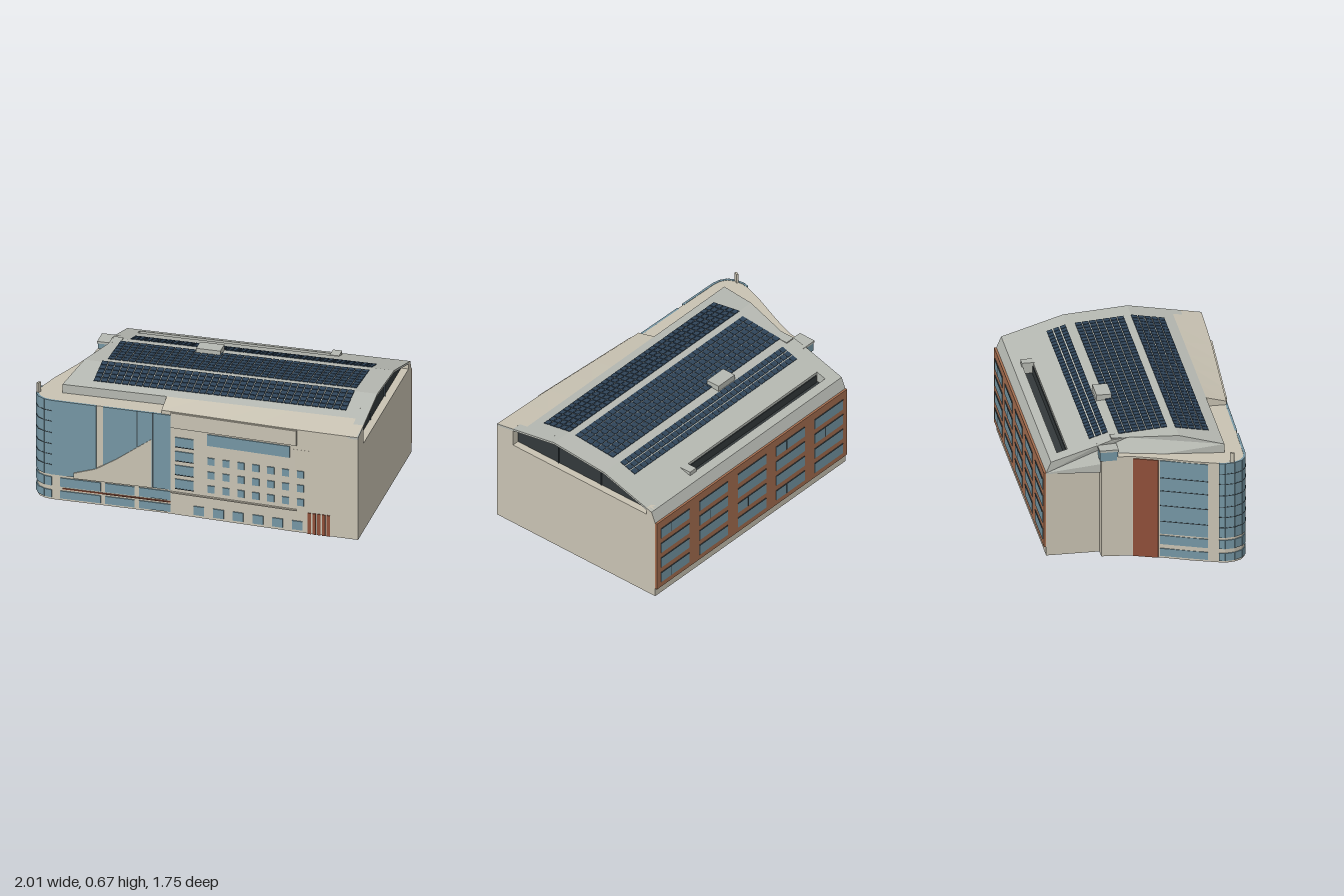
import * as THREE from 'three';
import { mergeGeometries } from 'three/addons/utils/BufferGeometryUtils.js';

const mat = (color) => new THREE.MeshStandardMaterial({ color, flatShading: true });
const wall = mat(0xc9c3b3), roofMat = mat(0xb6b9b2), brick = mat(0xa66f50), redBrick = mat(0x8f4f39);
const glass = mat(0x7596a4), solar = mat(0x2f4459), dark = mat(0x33393b), frame = mat(0x3a464c);

// Piecewise linear lookup through [x, y] points
const lerpPts = (pts, x) => {
  let i = 0;
  while (i < pts.length - 2 && x > pts[i + 1][0]) i++;
  const [[x0, y0], [x1, y1]] = [pts[i], pts[i + 1]];
  return y0 + (y1 - y0) * (x - x0) / (x1 - x0);
};

// Local plan frame: u runs along the building, v across it, the whole is turned in plan
const ROOF = [[-0.57, 0.475], [-0.545, 0.535], [-0.22, 0.635], [0.12, 0.66], [0.51, 0.59]];
const FRONT = [[-0.84, 0.45], [-0.24, 0.457], [0.476, 0.5], [0.82, 0.51]];
const roofY = (v) => lerpPts(ROOF, v);
const frontV = (u) => lerpPts(FRONT, u);
const CORNER = [[-0.84, 0.45], [-0.88, 0.442], [-0.915, 0.42], [-0.937, 0.38], [-0.943, 0.33]];
const LEFT = [[-0.89, 0.17], [-0.82, 0], [-0.775, -0.13], [-0.76, -0.28]];

export function createModel() {
  const model = new THREE.Group();
  const building = new THREE.Group();
  building.name = 'building';
  building.rotation.y = -0.586;
  model.add(building);

  const add = (geo, material, name) => {
    const m = new THREE.Mesh(geo, material);
    m.name = name;
    building.add(m);
    return m;
  };
  const box = (u, y, v, su, sy, sv, material, name) =>
    add(new THREE.BoxGeometry(su, sy, sv), material, name).position.set(u, y, v);

  // Upright prism over a plan outline
  const prism = (pts, height, material, name) => {
    const shape = new THREE.Shape(pts.map(([u, v]) => new THREE.Vector2(u, -v)));
    const geo = new THREE.ExtrudeGeometry(shape, { depth: height, bevelEnabled: false });
    return add(geo.rotateX(-Math.PI / 2), material, name);
  };

  // Cross-section in (v, y) swept along u between two ends that may vary with v
  const sweep = (pts, uL, uR, material, name) => {
    const shape = new THREE.Shape(pts.map(([v, y]) => new THREE.Vector2(-v, y)));
    const geo = new THREE.ExtrudeGeometry(shape, { depth: 1, bevelEnabled: false, steps: 6 });
    geo.rotateY(Math.PI / 2);
    const p = geo.attributes.position;
    for (let i = 0; i < p.count; i++) {
      const v = p.getZ(i), a = uL(v), u = a + (uR - a) * p.getX(i);
      p.setX(i, u);
      if (v > 0.505) p.setZ(i, frontV(u));
    }
    geo.computeVertexNormals();
    return add(geo, material, name);
  };
  // Roof line between two v values, closed along a level base
  const section = (v0, v1, base, drop = 0, extra = []) => {
    const vs = [v0, ...ROOF.map((q) => q[0]).concat(extra).filter((v) => v > v0 && v < v1), v1].sort((a, b) => a - b);
    return [...vs.map((v) => [v, roofY(v) - drop]), [v1, base], [v0, base]];
  };
  const at = (u) => () => u;

  // Thin upright panel between two plan points
  const panel = (a, b, y0, y1, material, name, thick = 0.012) => {
    const du = b[0] - a[0], dv = b[1] - a[1];
    const m = add(new THREE.BoxGeometry(Math.hypot(du, dv), y1 - y0, thick), material, name);
    m.position.set((a[0] + b[0]) / 2, (y0 + y1) / 2, (a[1] + b[1]) / 2);
    m.rotation.y = -Math.atan2(dv, du);
  };
  // Panel on the front facade placed by its sideways position x
  const frontPoint = (x) => {
    let v = 0.48;
    for (let i = 0; i < 3; i++) v = frontV((x + 0.553 * v) / 0.833);
    return [(x + 0.553 * v) / 0.833, v];
  };
  const front = (x0, x1, y0, y1, material, name, thick) =>
    panel(frontPoint(x0), frontPoint(x1), y0, y1, material, name, thick);

  // Main walls and the taller rounded left end with its terrace
  const leftEnd = [...CORNER, ...LEFT];
  prism([[0.82, -0.57], [0.82, 0.51], [0.476, 0.5], [-0.24, 0.457], ...leftEnd, [-0.7, -0.29], [-0.7, -0.57]], 0.475, wall, 'mainWalls');
  prism([[-0.24, 0], [-0.24, 0.457], ...leftEnd, [-0.6, -0.28]], 0.57, wall, 'leftTerrace');

  // Shallow faceted roof, with a trench along the rear slope
  const roofEnd = (v) => lerpPts([[-0.57, -0.7], [-0.29, -0.7], [-0.14, -0.69], [0.35, -0.81]], v);
  sweep(section(-0.57, 0.35, 0.47, 0, [-0.29, -0.14]), roofEnd, -0.62, roofMat, 'roofLeft');
  const trench = section(-0.57, 0.35, 0.47);
  trench.splice(2, 0, [-0.5, roofY(-0.5)], [-0.5, 0.5], [-0.445, 0.5], [-0.445, roofY(-0.445)]);
  sweep(trench, at(-0.62), 0.46, roofMat, 'roofMiddle');
  sweep(section(-0.57, 0.35, 0.47), at(0.46), 0.765, roofMat, 'roofRight');
  sweep(section(0.35, 0.51, 0.47), at(-0.25), 0.765, wall, 'frontWing');
  box(-0.08, 0.502, -0.4725, 1.08, 0.006, 0.054, dark, 'trenchFloor');
  box(-0.08, 0.528, -0.447, 1.06, 0.045, 0.006, dark, 'trenchWindow');
  box(0.44, 0.54, -0.4725, 0.05, 0.06, 0.065, roofMat, 'trenchEnd');

  // Right gable: overhanging roof edge, recessed dark clerestory and sill
  const vs = ROOF.map((q) => q[0]);
  const edge = [...ROOF, ...vs.slice().reverse().map((v) => [v, roofY(v) - 0.012])];
  sweep(edge, at(0.76), 0.82, roofMat, 'gableEdge');
  sweep(section(0.4, 0.51, 0.47), at(0.76), 0.82, wall, 'gableFrontPier');
  sweep(section(-0.57, -0.51, 0.47), at(0.76), 0.82, wall, 'gableRearPier');
  sweep(section(-0.51, 0.4, 0.47, 0.012), at(0.765), 0.78, dark, 'clerestory');
  box(0.79, 0.488, -0.055, 0.06, 0.036, 0.91, wall, 'clerestorySill');
  for (const v of [-0.17, 0.12]) box(0.782, 0.57, v, 0.008, 0.13, 0.006, frame, 'clerestoryMullion');

  // Solar panels laid on the roof slope in three strips
  const cells = [];
  for (const [v0, v1, rows, start] of [[-0.33, -0.225, 3, -0.6], [-0.18, 0.08, 7, -0.64], [0.115, 0.295, 5, -0.66]]) {
    const dv = (v1 - v0) / rows, cols = 36, du = (0.7 - start) / cols;
    for (let r = 0; r < rows; r++) for (let c = 0; c < cols; c++) {
      const v = v0 + (r + 0.5) * dv;
      const slope = (roofY(v + 0.01) - roofY(v - 0.01)) / 0.02;
      const g = new THREE.BoxGeometry(du - 0.005, 0.004, dv - 0.005);
      cells.push(g.rotateX(-Math.atan(slope)).translate(start + (c + 0.5) * du, roofY(v) + 0.003, v));
    }
  }
  add(mergeGeometries(cells), solar, 'solarPanels');

  // Rooftop plant and the small glazed stair tower
  box(-0.158, 0.645, -0.183, 0.13, 0.045, 0.08, roofMat, 'roofPlantBox');
  box(-0.72, 0.29, -0.25, 0.08, 0.58, 0.08, wall, 'stairTower');
  box(-0.72, 0.575, -0.25, 0.094, 0.05, 0.094, glass, 'stairTowerGlass');
  box(-0.72, 0.606, -0.25, 0.1, 0.012, 0.1, roofMat, 'stairTowerCap');
  box(-0.66, 0.62, -0.19, 0.05, 0.04, 0.07, roofMat, 'stairTowerLobby');
  panel([-0.927, 0.36], [-0.937, 0.38], 0.56, 0.625, wall, 'cornerFin');

  // Brick rear facade with five bays of four window rows
  box(0.06, 0.262, -0.576, 1.52, 0.426, 0.012, brick, 'rearBrick');
  for (let c = 0; c < 5; c++) for (let r = 0; r < 4; r++) {
    const u = 0.675 - c * 0.307, y = 0.11 + r * 0.095;
    box(u, y, -0.579, 0.225, 0.06, 0.011, glass, 'rearWindow');
    box(u, y + 0.031, -0.58, 0.225, 0.004, 0.013, frame, 'rearWindowHead');
    if ((c + r) % 3 === 0) box(u + 0.03, y, -0.58, 0.005, 0.06, 0.011, frame, 'rearMullion');
  }

  // Rounded glass corner and left-end glazing
  const curve = [[-0.6, 0.455], ...CORNER, [-0.935, 0.3]];
  const strips = (pts, y0, y1, material, name, thick) =>
    pts.slice(1).forEach((b, i) => panel(pts[i], b, y0, y1, material, name, thick));
  strips(curve, 0.145, 0.572, glass, 'cornerGlass');
  for (const y of [0.2, 0.26, 0.32, 0.385, 0.45, 0.51]) strips(curve.slice(1), y, y + 0.004, frame, 'cornerTransom', 0.015);
  const sideA = [-0.824, 0.01], sideB = [-0.915, 0.245];
  panel(sideA, sideB, 0.14, 0.56, glass, 'sideGlass');
  for (const y of [0.21, 0.3, 0.385, 0.46]) panel(sideA, sideB, y, y + 0.004, frame, 'sideTransom', 0.016);
  panel([-0.776, -0.125], [-0.82, 0], 0, 0.56, redBrick, 'sideBrick');
  for (const [y0, y1] of [[0.012, 0.055], [0.08, 0.13]]) {
    panel(sideA, sideB, y0, y1, glass, 'sideLowWindow');
    strips(curve.slice(1), y0, y1, glass, 'cornerLowWindow');
    for (const [x0, x1] of [[-0.91, -0.73], [-0.71, -0.58], [-0.56, -0.42]]) front(x0, x1, y0, y1, glass, 'frontLowWindow');
  }
  front(-0.9, -0.42, 0.066, 0.072, redBrick, 'lowBand');

  // Large front glazing, partly covered by a sloping wall
  front(-0.72, -0.42, 0.14, 0.57, glass, 'frontGlass');
  for (const x of [-0.57, -0.5]) front(x, x + 0.005, 0.14, 0.57, frame, 'frontMullion', 0.015);
  const rake = new THREE.Shape([[-0.72, 0.14], [-0.3, 0.14], [-0.3, 0.42], [-0.49, 0.28], [-0.6, 0.21], [-0.72, 0.17]]
    .map((q) => new THREE.Vector2(...q)));
  add(new THREE.ExtrudeGeometry(rake, { depth: 0.016, bevelEnabled: false }), wall, 'slopingWall').position.z = 0.45;

  // Punched windows of the front facade
  front(-0.26, 0.1, 0.425, 0.49, glass, 'frontRibbonWindow');
  for (let r = 0; r < 4; r++) {
    const y = 0.155 + r * 0.08;
    front(-0.4, -0.32, y, y + 0.052, glass, 'frontBayWindow');
    front(-0.4, -0.32, y - 0.004, y, frame, 'frontBaySill', 0.016);
    if (r < 3) for (let c = 0; c < 7; c++) {
      const x = -0.258 + c * 0.065;
      front(x, x + 0.03, y, y + 0.04, glass, 'frontSmallWindow');
    }
  }
  for (let c = 0; c < 6; c++) {
    const x = -0.32 + c * 0.086;
    front(x, x + 0.046, 0.015, 0.065, glass, 'frontGroundWindow');
  }
  for (let c = 0; c < 5; c++) front(0.18 + c * 0.021, 0.194 + c * 0.021, 0, 0.12, redBrick, 'frontDoorBoards');
  front(-0.42, 0.13, 0.125, 0.131, wall, 'frontLedge', 0.024);
  front(-0.42, 0.13, 0.5, 0.585, wall, 'frontFascia', 0.016);

  return model;
}
